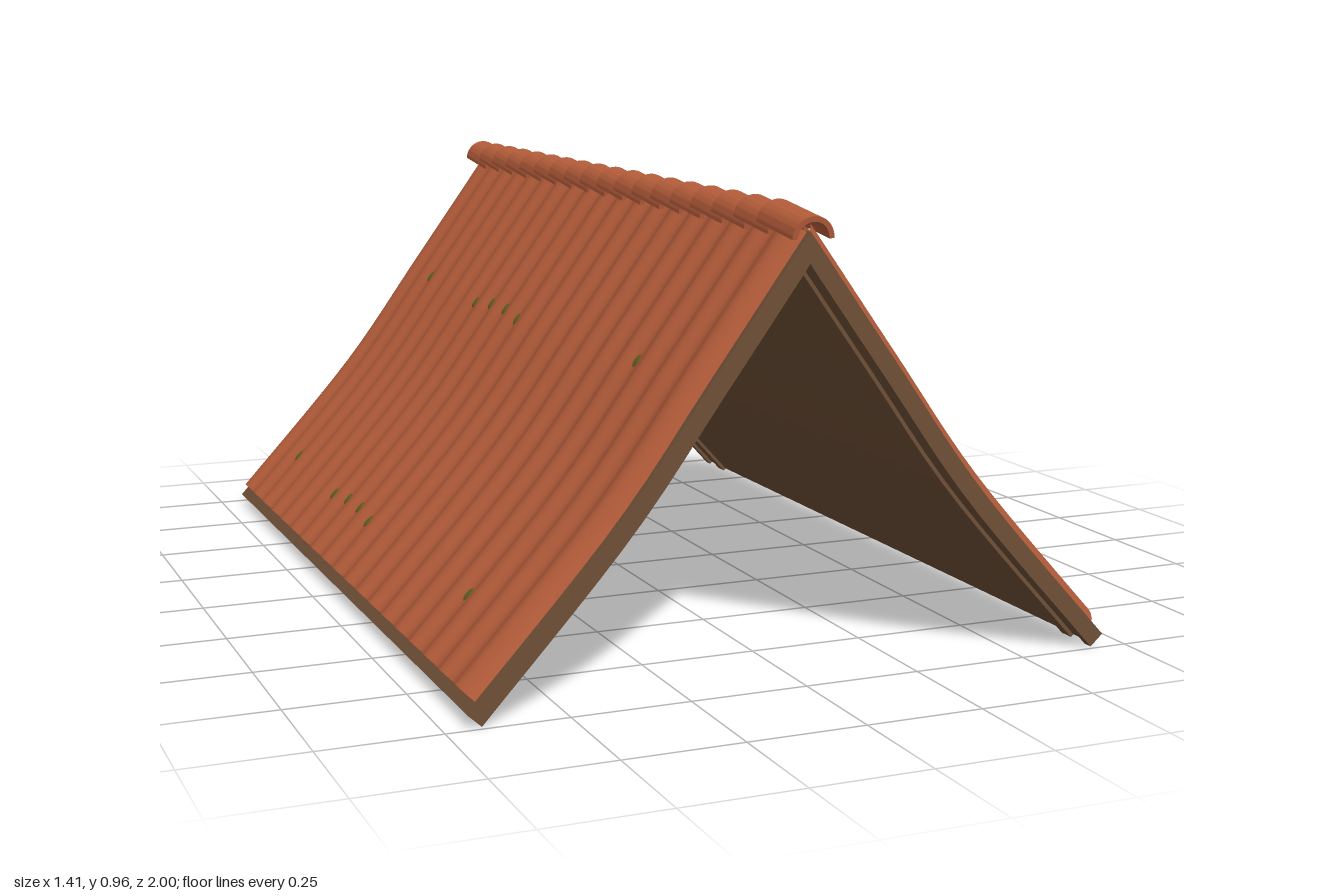
import * as THREE from 'three';
import { toCreasedNormals } from 'three/addons/utils/BufferGeometryUtils.js';

const tileMat = new THREE.MeshStandardMaterial({ color: 0xb25b39 });
tileMat.name = 'terracotta';
const woodMat = new THREE.MeshStandardMaterial({ color: 0x6f5037 });
woodMat.name = 'brownWood';
const mossMat = new THREE.MeshStandardMaterial({ color: 0x56601c });
mossMat.name = 'moss';

// Sagging slope of the boarding, from the ridge to the eave
const slope = new THREE.SplineCurve([[0, 0.905], [0.2, 0.63], [0.4, 0.36], [0.7, 0.028]]
  .map(([x, y]) => new THREE.Vector2(x, y)));
const Z_FRONT = 0.975, Z_BACK = -0.955, WAVES = 19;

// Point on the slope, moved outward along its normal
function slopePoint(v, offset) {
  const p = slope.getPointAt(v), t = slope.getTangentAt(v);
  return new THREE.Vector2(p.x - t.y * offset, p.y + t.x * offset);
}

// A bent board covering both slopes, between two offsets and two z values
function bentBoard(name, top, bottom, z0, z1) {
  const N = 16, right = [], under = [];
  for (let i = 1; i <= N; i++) {
    right.push(slopePoint(i / N, top));
    under.push(slopePoint(i / N, bottom));
  }
  const flip = (p) => new THREE.Vector2(-p.x, p.y);
  const outline = [
    new THREE.Vector2(0, 0.905 + top * 1.68), ...right,
    ...under.slice().reverse(), new THREE.Vector2(0, 0.905 + bottom * 1.68),
    ...under.map(flip), ...right.map(flip).reverse(),
  ];
  const geo = new THREE.ExtrudeGeometry(new THREE.Shape(outline), { depth: z1 - z0, bevelEnabled: false });
  const mesh = new THREE.Mesh(toCreasedNormals(geo, 0.5), woodMat);
  mesh.position.z = z0;
  mesh.name = name;
  return mesh;
}

// Height of the rolled tiles above the boarding, rounded down at both verges
function tileHeight(u) {
  const wave = 0.024 - 0.006 * Math.cos(u * WAVES * Math.PI * 2);
  const edge = Math.min(1, Math.min(u, 1 - u) / 0.02);
  return wave * Math.sqrt(1 - (1 - edge) ** 2);
}

// Rolled tile covering of one slope, with its eave end
function tileSlope(side) {
  const N = 18, M = WAVES * 10, pos = [], index = [];
  const addRow = (v, scale) => {
    for (let i = 0; i <= M; i++) {
      const u = i / M;
      const p = slopePoint(v, tileHeight(u) * scale);
      pos.push(side * p.x, p.y, Z_BACK + (Z_FRONT - Z_BACK) * u);
    }
  };
  for (let j = 0; j <= N; j++) addRow(0.975 * j / N, 1);
  addRow(0.975, 0);
  for (let j = 0; j <= N; j++) {
    for (let i = 0; i < M; i++) {
      const a = j * (M + 1) + i, b = a + 1, c = a + M + 1, d = c + 1;
      if (side > 0) index.push(a, b, c, b, d, c);
      else index.push(a, c, b, b, c, d);
    }
  }
  const geo = new THREE.BufferGeometry();
  geo.setAttribute('position', new THREE.Float32BufferAttribute(pos, 3));
  geo.setIndex(index);
  const mesh = new THREE.Mesh(toCreasedNormals(geo, 0.8), tileMat);
  mesh.name = side > 0 ? 'leftTiles' : 'rightTiles';
  return mesh;
}

// Small tufts of moss lying in the grooves between rolls
function mossPatches(side) {
  const group = new THREE.Group();
  group.name = side > 0 ? 'leftMoss' : 'rightMoss';
  const geo = new THREE.SphereGeometry(1, 8, 6);
  for (const v of [0.33, 0.85]) {
    for (const k of [2, 6, 7, 8, 9, 16]) {
      const p = slopePoint(v + 0.008 * Math.sin(k * 2.3), 0.019);
      const t = slope.getTangentAt(v);
      const tuft = new THREE.Mesh(geo, mossMat);
      tuft.name = 'mossTuft';
      tuft.scale.set(0.016, 0.003, 0.009);
      tuft.position.set(side * p.x, p.y, Z_BACK + (Z_FRONT - Z_BACK) * k / WAVES);
      tuft.rotation.z = side * Math.atan2(t.y, t.x);
      group.add(tuft);
    }
  }
  return group;
}

// Overlapping half-round caps along the ridge, each rising to the back
function ridge() {
  const group = new THREE.Group();
  group.name = 'ridge';
  const ring = new THREE.Shape();
  ring.absarc(0, 0, 0.045, 0, Math.PI, false);
  ring.absarc(0, 0, 0.034, Math.PI, 0, true);
  const geo = toCreasedNormals(
    new THREE.ExtrudeGeometry(ring, { depth: 0.16, bevelEnabled: false, curveSegments: 14 }), 0.6);
  const COUNT = 18;
  for (let i = 0; i < COUNT; i++) {
    const cap = new THREE.Mesh(geo, tileMat);
    cap.name = 'ridgeTile';
    cap.position.set(0, 0.915, 0.84 - i * 1.835 / (COUNT - 1));
    cap.rotation.x = 0.125;
    group.add(cap);
  }
  return group;
}

export function createModel() {
  const model = new THREE.Group();
  model.name = 'tiledRoof';
  model.add(
    bentBoard('boarding', 0, -0.027, -0.955, 0.975),
    bentBoard('frontBargeboard', 0.002, -0.035, 0.965, 0.988),
    bentBoard('backBargeboard', 0.002, -0.035, -0.968, -0.945),
    bentBoard('frontRafter', -0.01, -0.035, 0.88, 0.915),
    bentBoard('backRafter', -0.01, -0.035, -0.885, -0.85),
  );
  for (const side of [1, -1]) model.add(tileSlope(side), mossPatches(side));
  model.add(ridge());
  return model;
}
